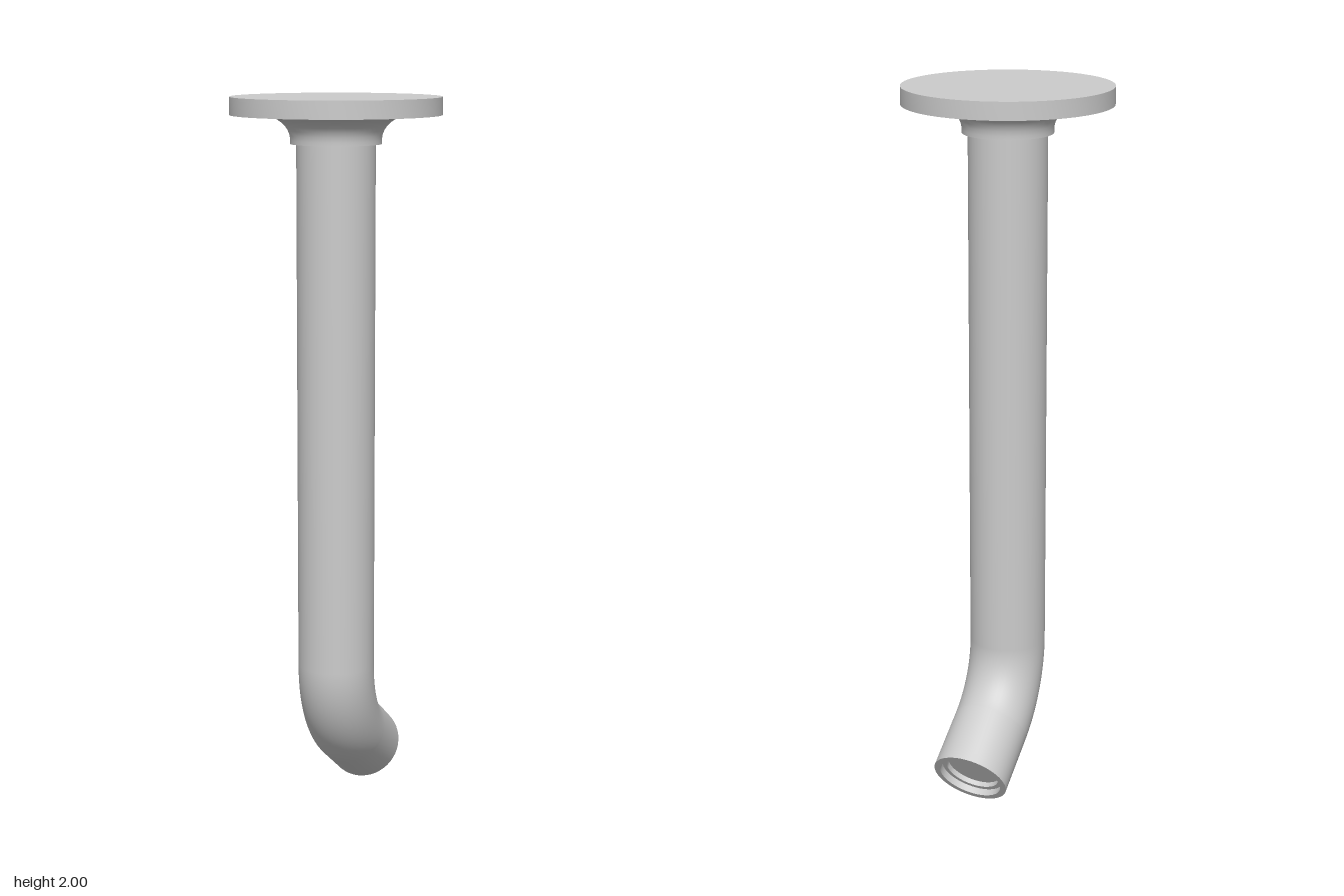
import * as THREE from 'three';
import { toCreasedNormals } from 'three/addons/utils/BufferGeometryUtils.js';

const SIDES = 48;
const AXIS_Z = 0.022; // axis of the straight pipe
const R = 0.107; // pipe radius
const BEND_Y = 0.418; // height where the bend starts
const BEND_R = 0.278; // centre-line radius of the bend
const ANGLE = THREE.MathUtils.degToRad(56.7);
const OUTLET = 0.174; // length of the straight outlet

export function createModel() {
  const group = new THREE.Group();
  const material = new THREE.MeshStandardMaterial({ color: 0xcccccc });

  const add = (name, geometry) => {
    const mesh = new THREE.Mesh(geometry, material);
    mesh.name = name;
    group.add(mesh);
    return mesh;
  };
  const lathe = (points) => toCreasedNormals(
    new THREE.LatheGeometry(points.map(([x, y]) => new THREE.Vector2(x, y)), SIDES), 0.6);

  // Ceiling flange: collar, concave flare and flat disc
  const flare = [];
  for (let i = 0; i <= 8; i++) {
    const a = (i / 8) * Math.PI / 2;
    flare.push([0.205 - 0.082 * Math.cos(a), 1.885 + 0.067 * Math.sin(a)]);
  }
  add('ceilingFlange', lathe([
    [R - 0.005, 1.875], [0.123, 1.875], ...flare, [0.285, 1.952], [0.285, 2], [0, 2],
  ])).position.z = AXIS_Z;

  // Straight vertical pipe
  const height = 1.95 - BEND_Y;
  add('straightPipe', new THREE.CylinderGeometry(R, R, height, SIDES, 1, true))
    .position.set(0, BEND_Y + height / 2, AXIS_Z);

  // Bend turning towards the back
  const bend = new THREE.TorusGeometry(BEND_R, R, SIDES, 20, ANGLE);
  bend.rotateZ(-ANGLE).rotateY(-Math.PI / 2);
  add('bend', bend).position.set(0, BEND_Y, AXIS_Z - BEND_R);

  // Outlet with a rim and a stepped recess
  const outlet = add('outlet', lathe([
    [R, 0], [R, OUTLET], [0.09, OUTLET], [0.09, OUTLET - 0.02],
    [0.077, OUTLET - 0.02], [0.077, OUTLET - 0.035], [0, OUTLET - 0.035],
  ]));
  outlet.position.set(0,
    BEND_Y - BEND_R * Math.sin(ANGLE),
    AXIS_Z - BEND_R * (1 - Math.cos(ANGLE)));
  outlet.rotation.x = Math.PI + ANGLE;

  return group;
}
